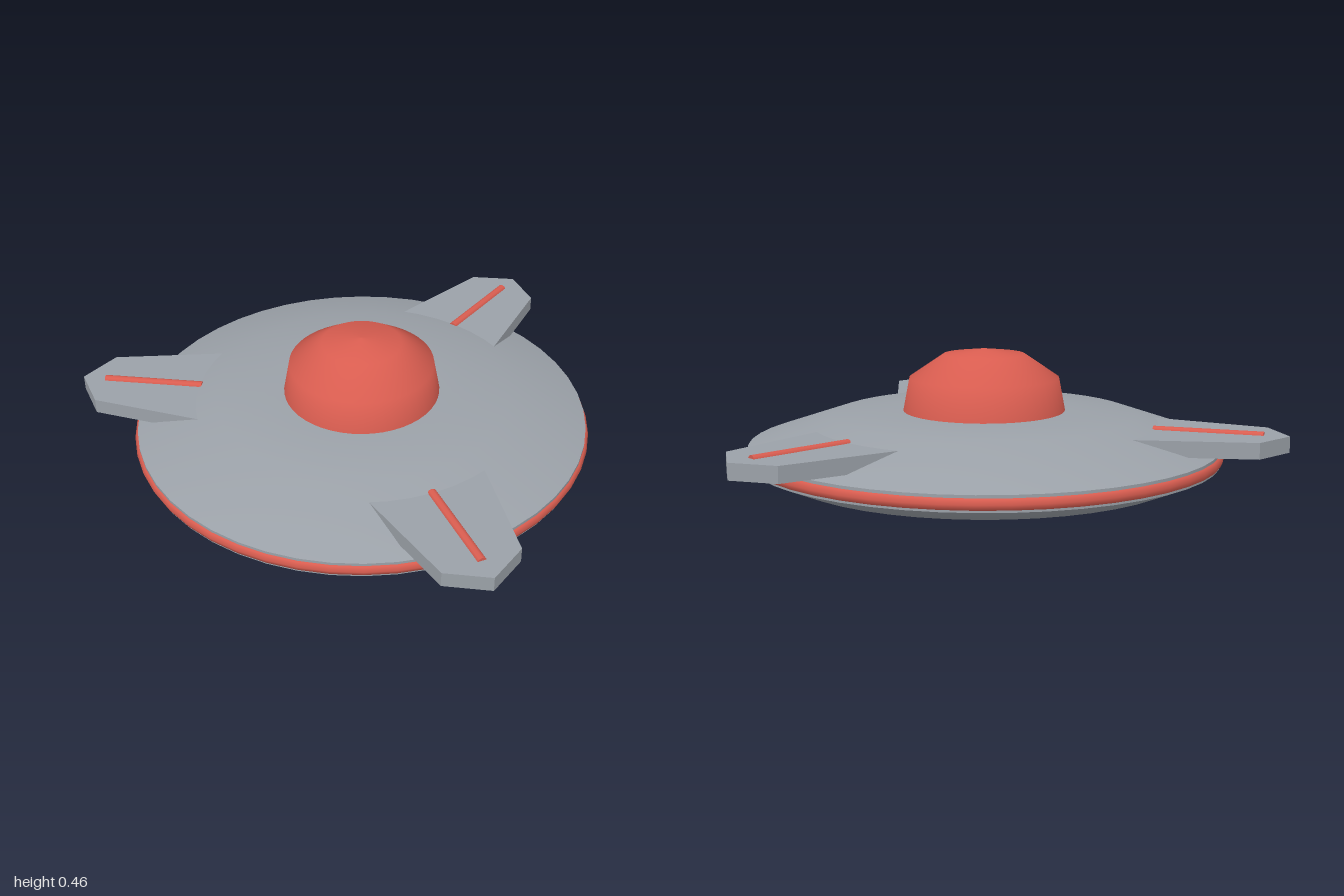
import * as THREE from 'three';

export function createModel() {
  const model = new THREE.Group();
  model.name = 'saucer';
  const grey = new THREE.MeshStandardMaterial({ color: 0x9ba1a8 });
  grey.name = 'hull grey';
  const red = new THREE.MeshStandardMaterial({ color: 0xd95d50 });
  red.name = 'trim red';

  const add = (parent, name, geometry, material) => {
    const mesh = new THREE.Mesh(geometry, material);
    mesh.name = name;
    parent.add(mesh);
    return mesh;
  };
  // Round part from [radius, height] pairs, listed from bottom to top
  const lathe = (points) =>
    new THREE.LatheGeometry(points.map(([r, y]) => new THREE.Vector2(r, y)), 48);

  // The disc sits behind the centre because one fin points forward
  const ship = new THREE.Group();
  ship.name = 'ship';
  ship.position.z = -0.115;
  model.add(ship);

  // Hull: underside, rim and upper deck
  add(ship, 'hullUnderside', lathe([[0, 0], [0.745, 0], [0.873, 0.055]]), grey);
  add(ship, 'hullRim', lathe([[0.873, 0.055], [0.873, 0.112]]), grey);
  add(ship, 'hullDeck', lathe([[0.873, 0.112], [0.85, 0.12], [0.565, 0.217], [0.3, 0.23], [0, 0.23]]), grey);

  // Band around the rim
  const band = add(ship, 'rimBand', new THREE.TorusGeometry(0.86, 0.025, 8, 48), red);
  band.rotation.x = Math.PI / 2;
  band.position.y = 0.082;

  // Cockpit dome
  add(ship, 'dome', lathe([[0.302, 0.225], [0.278, 0.352], [0.152, 0.438], [0, 0.459]]), red);

  // Fin outline: x across, y outward from the disc centre
  const outline = new THREE.Shape([
    [0, 1.115], [-0.15, 1.025], [-0.24, 0.53], [0.24, 0.53], [0.15, 1.025],
  ].map(([x, y]) => new THREE.Vector2(x, y)));
  const finGeometry = new THREE.ExtrudeGeometry(outline, { depth: 0.058, bevelEnabled: false });
  finGeometry.rotateX(Math.PI / 2).translate(0, 0.19, 0);
  const rodGeometry = new THREE.CylinderGeometry(0.018, 0.018, 0.39, 10);
  rodGeometry.rotateX(Math.PI / 2).translate(0, 0.184, 0.83);

  // Three fins, each with a rod along its top
  for (let i = 0; i < 3; i++) {
    const fin = new THREE.Group();
    fin.name = ['frontFin', 'leftFin', 'rightFin'][i];
    fin.rotation.y = (i * Math.PI * 2) / 3;
    add(fin, 'finPlate', finGeometry, grey);
    add(fin, 'finRod', rodGeometry, red);
    ship.add(fin);
  }
  return model;
}
